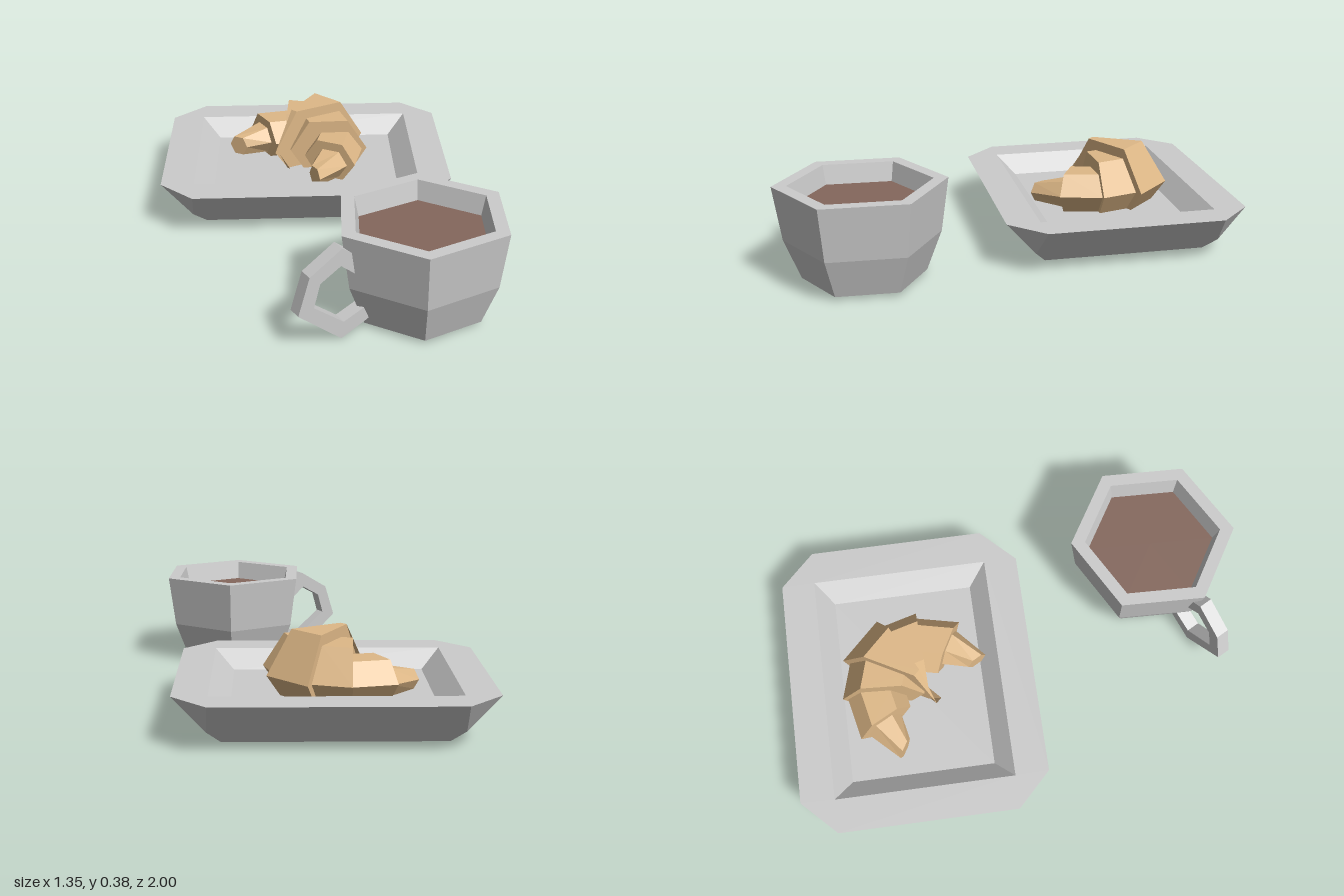
import * as THREE from 'three';

const material = (color) => new THREE.MeshStandardMaterial({ color, flatShading: true, roughness: 0.9 });

// Closed solid through a row of cross-section loops, capped at both ends
function loft(rings) {
  const pos = [];
  const tri = (a, b, c) => {
    const n = b.clone().sub(a).cross(c.clone().sub(a));
    if (n.lengthSq() > 1e-12) for (const p of [a, b, c]) pos.push(p.x, p.y, p.z);
  };
  const count = rings[0].length;
  for (let i = 0; i < rings.length - 1; i++) {
    for (let j = 0; j < count; j++) {
      const k = (j + 1) % count;
      const a = rings[i][j], b = rings[i][k], c = rings[i + 1][k], d = rings[i + 1][j];
      tri(a, d, b);
      tri(d, c, b);
    }
  }
  const first = rings[0], last = rings[rings.length - 1];
  for (let j = 1; j < count - 1; j++) {
    tri(first[0], first[j], first[j + 1]);
    tri(last[0], last[j + 1], last[j]);
  }
  const g = new THREE.BufferGeometry();
  g.setAttribute('position', new THREE.Float32BufferAttribute(pos, 3));
  g.computeVertexNormals();
  return g;
}

function addMesh(parent, name, geometry, mat) {
  const mesh = new THREE.Mesh(geometry, mat);
  mesh.name = name;
  parent.add(mesh);
  return mesh;
}

// Rectangle loop at height y with corners cut by c (c = 0 doubles each corner)
function plateRing(a, b, y, c = 0) {
  return [
    [a, -b + c], [a, b - c], [a - c, b], [-a + c, b],
    [-a, b - c], [-a, -b + c], [-a + c, -b], [a - c, -b],
  ].map(([x, z]) => new THREE.Vector3(x, y, z));
}

function createPlate(grey) {
  const plate = new THREE.Mesh(loft([
    plateRing(0.406, 0.322, 0.015),
    plateRing(0.456, 0.367, 0.065),
    plateRing(0.58, 0.48, 0.19, 0.133),
    plateRing(0.45, 0.349, 0.19),
    plateRing(0.375, 0.279, 0.118),
  ]), grey);
  plate.name = 'plate';
  plate.position.z = -0.365;
  plate.rotation.y = THREE.MathUtils.degToRad(-28);
  return plate;
}

// Hexagonal section standing on a ray at the given angle of the crescent
function pastrySection(deg, { r, w, h, y }) {
  const a = THREE.MathUtils.degToRad(deg);
  return Array.from({ length: 6 }, (_, k) => {
    const t = (k * Math.PI) / 3;
    const d = r + w * Math.cos(t);
    const up = -(h / Math.sin(Math.PI / 3)) * Math.sin(t);
    return new THREE.Vector3(d * Math.cos(a), Math.max(y + up, 0.05), d * Math.sin(a));
  });
}

function createPastry() {
  const pastry = new THREE.Group();
  pastry.name = 'pastry';
  pastry.position.set(-0.1, 0, -0.35);
  const crust = material(0xdeb887);
  const middle = -16.5;
  const core = { r: 0.16, w: 0.21, h: 0.165, y: 0.2 };
  addMesh(pastry, 'pastryMiddle',
    loft([pastrySection(middle - 16.5, core), pastrySection(middle + 16.5, core)]), crust);

  // Each side steps down from the middle to a narrow tip
  const steps = [
    { name: 'pastryShoulder', from: 16.5, to: 42, near: { r: 0.18, w: 0.16, h: 0.125, y: 0.2 } },
    { name: 'pastryArm', from: 42, to: 73, near: { r: 0.205, w: 0.115, h: 0.08, y: 0.195 } },
    {
      name: 'pastryTip', from: 73, to: 105,
      near: { r: 0.21, w: 0.075, h: 0.055, y: 0.185 },
      far: { r: 0.235, w: 0.042, h: 0.038, y: 0.175 },
    },
  ];
  for (const { name, from, to, near, far = near } of steps) {
    addMesh(pastry, name,
      loft([pastrySection(middle + from, near), pastrySection(middle + to, far)]), crust);
    addMesh(pastry, name,
      loft([pastrySection(middle - to, far), pastrySection(middle - from, near)]), crust);
  }
  return pastry;
}

function createCup(grey) {
  const cup = new THREE.Group();
  cup.name = 'cup';
  cup.position.set(-0.132, 0, 0.715);

  // Six-sided body with a thick rim
  const profile = [
    [0, 0.015], [0.235, 0.015], [0.295, 0.17], [0.325, 0.38], [0.27, 0.38], [0.249, 0.29],
  ].map(([x, y]) => new THREE.Vector2(x, y));
  addMesh(cup, 'cupBody', new THREE.LatheGeometry(profile, 6, Math.PI / 2), grey);

  // Drink surface
  const drink = addMesh(cup, 'drink', new THREE.CircleGeometry(0.252, 6), material(0x84675c));
  drink.rotation.x = -Math.PI / 2;
  drink.position.y = 0.305;

  // Angular handle, a flat band bent in straight pieces
  const outline = [
    [-0.42, 0.24], [-0.43, 0.32], [-0.47, 0.35], [-0.595, 0.275], [-0.64, 0.14], [-0.475, 0.002],
    [-0.365, 0.05], [-0.385, 0.097], [-0.465, 0.065], [-0.58, 0.155], [-0.555, 0.24], [-0.475, 0.285],
  ].map(([x, y]) => new THREE.Vector2(x + 0.132, y));
  const handle = new THREE.ExtrudeGeometry(new THREE.Shape(outline), { depth: 0.054, bevelEnabled: false });
  handle.translate(0, 0, -0.027);
  addMesh(cup, 'cupHandle', handle, grey);
  return cup;
}

export function createModel() {
  const model = new THREE.Group();
  model.name = 'breakfastSet';
  const grey = material(0xcccccc);
  model.add(createPlate(grey), createPastry(), createCup(grey));
  return model;
}
